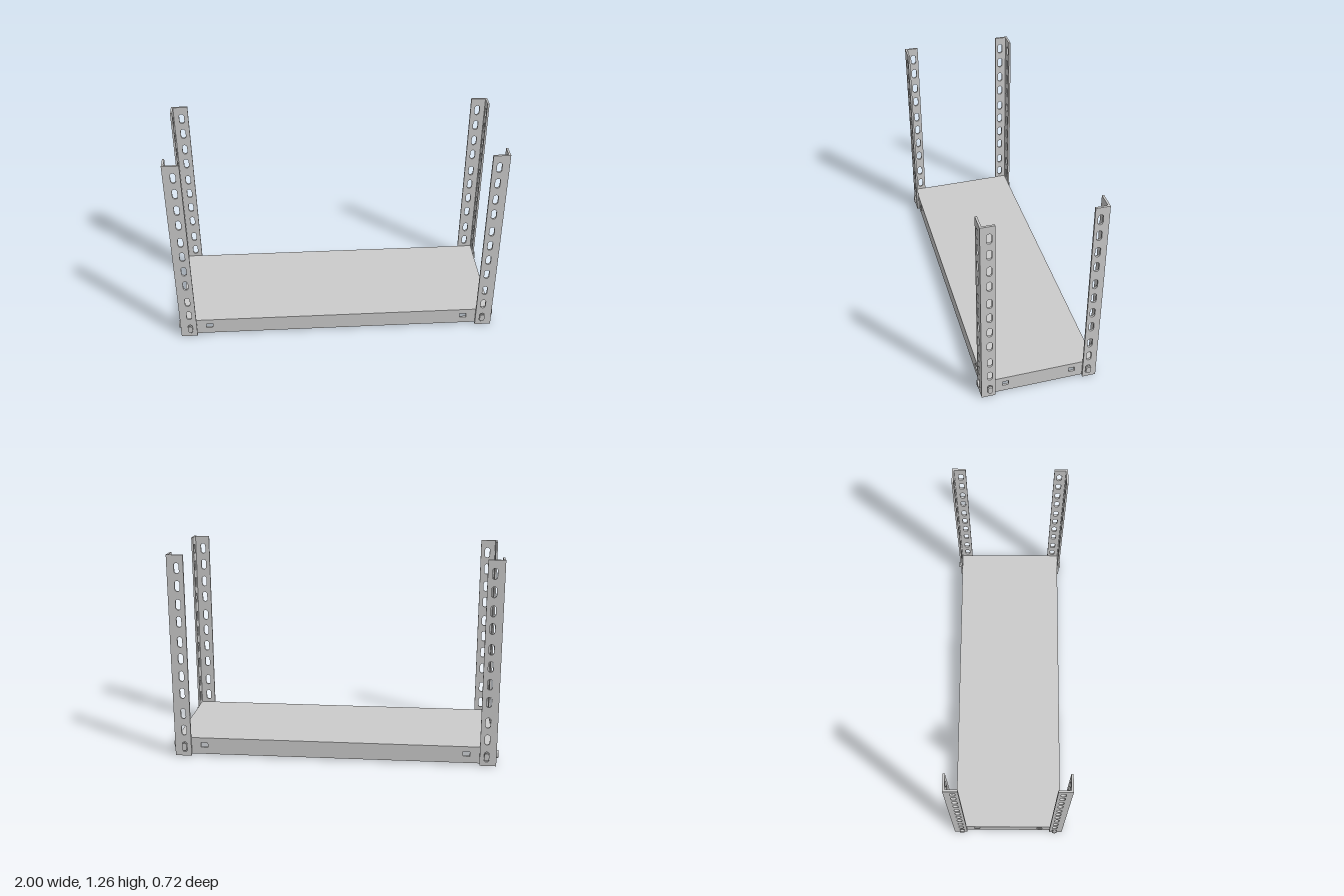
import * as THREE from 'three';

const METAL = new THREE.MeshStandardMaterial({ color: 0xcccccc, side: THREE.DoubleSide });
const WALL = 0.012;
const POST = { x: 0.985, z: 0.35, innerX: 0.885, innerZ: 0.268, height: 1.26 };
const TRAY = { x: 0.973, z: 0.337, bottom: 0.01, top: 0.115 };
const SLOT_X = 0.926, SLOT_Z = 0.3, BOLT_Y = 0.06;
const SLOT_YS = [0.057, 0.167, 0.275, 0.405, 0.515, 0.625, 0.73, 0.855, 0.96, 1.073, 1.18];

function add(group, name, geometry) {
  const mesh = new THREE.Mesh(geometry, METAL);
  mesh.name = name;
  group.add(mesh);
  return mesh;
}

function trace(path, points) {
  points.forEach(([x, y], i) => (i ? path.lineTo(x, y) : path.moveTo(x, y)));
  path.closePath();
  return path;
}

const rectangle = (path, x0, x1, y0, y1) => trace(path, [[x0, y0], [x1, y0], [x1, y1], [x0, y1]]);

// Upright slot with round ends
function slot(path, x, y, width, height) {
  const r = width / 2, h = height / 2 - r;
  path.moveTo(x + r, y - h);
  path.lineTo(x + r, y + h);
  path.absarc(x, y + h, r, 0, Math.PI, false);
  path.lineTo(x - r, y - h);
  path.absarc(x, y - h, r, Math.PI, Math.PI * 2, false);
  return path;
}

// Upright sheet spanning a0..a1; it faces z, or x when alongZ is set, centred at offset
function sheet(a0, a1, y0, y1, holes, offset, alongZ) {
  const lo = Math.min(a0, a1), hi = Math.max(a0, a1);
  const flip = alongZ ? -1 : 1; // turning the sheet sideways maps its x to -z
  const shape = rectangle(new THREE.Shape(), Math.min(lo * flip, hi * flip), Math.max(lo * flip, hi * flip), y0, y1);
  shape.holes = holes(flip);
  const geometry = new THREE.ExtrudeGeometry(shape, { depth: WALL, bevelEnabled: false, curveSegments: 8 });
  geometry.translate(0, 0, -WALL / 2);
  if (alongZ) geometry.rotateY(Math.PI / 2).translate(offset, 0, 0);
  else geometry.translate(0, 0, offset);
  return geometry;
}

// Slotted angle post with one flange facing z and one facing x
function createPost(sx, sz) {
  const post = new THREE.Group();
  post.name = 'cornerPost';
  const slots = (center) => (flip) =>
    SLOT_YS.map((y) => slot(new THREE.Path(), center * flip, y, 0.03, 0.065));
  add(post, 'longSideFlange', sheet(sx * POST.innerX, sx * POST.x, 0, POST.height,
    slots(sx * SLOT_X), sz * (POST.z - WALL / 2), false));
  add(post, 'shortSideFlange', sheet(sz * POST.innerZ, sz * (POST.z - WALL), 0, POST.height,
    slots(sz * SLOT_Z), sx * (POST.x - WALL / 2), true));
  return post;
}

// Bolt pointing along +z, with its head seated on z = 0
function createBolt(x, z, angle) {
  const bolt = new THREE.Group();
  bolt.name = 'bolt';
  const head = slot(new THREE.Shape(), 0, 0, 0.03, 0.048);
  add(bolt, 'boltHead', new THREE.ExtrudeGeometry(head, { depth: 0.012, bevelEnabled: false, curveSegments: 8 }));
  const shank = new THREE.CylinderGeometry(0.011, 0.011, 0.03, 16).rotateX(Math.PI / 2);
  add(bolt, 'boltShank', shank.translate(0, 0, -0.014));
  bolt.position.set(x, BOLT_Y, z);
  bolt.rotation.y = angle;
  return bolt;
}

// Folded tray: flat deck, four skirts with square holes and an inward lip
function createTray() {
  const tray = new THREE.Group();
  tray.name = 'shelfTray';
  const deck = new THREE.BoxGeometry(TRAY.x * 2, WALL, TRAY.z * 2);
  add(tray, 'deck', deck.translate(0, TRAY.top - WALL / 2, 0));

  const squares = (center, width) => () => [-1, 1].map((s) =>
    rectangle(new THREE.Path(), s * center - width / 2, s * center + width / 2, 0.053, 0.083));
  for (const s of [-1, 1]) {
    add(tray, 'longSkirt', sheet(-TRAY.x, TRAY.x, TRAY.bottom, TRAY.top - WALL,
      squares(0.805, 0.042), s * (TRAY.z - WALL / 2), false));
    add(tray, 'shortSkirt', sheet(-TRAY.z + WALL, TRAY.z - WALL, TRAY.bottom, TRAY.top - WALL,
      squares(0.202, 0.036), s * (TRAY.x - WALL / 2), true));
  }

  const lip = rectangle(new THREE.Shape(), -TRAY.x + WALL, TRAY.x - WALL, -TRAY.z + WALL, TRAY.z - WALL);
  lip.holes.push(rectangle(new THREE.Path(), -TRAY.x + 0.035, TRAY.x - 0.035, -TRAY.z + 0.035, TRAY.z - 0.035));
  const lipGeometry = new THREE.ExtrudeGeometry(lip, { depth: 0.008, bevelEnabled: false });
  add(tray, 'bottomLip', lipGeometry.rotateX(-Math.PI / 2).translate(0, TRAY.bottom, 0));
  return tray;
}

export function createModel() {
  const model = new THREE.Group();
  model.name = 'shelfUnit';
  model.add(createTray());
  for (const sx of [-1, 1]) {
    for (const sz of [-1, 1]) {
      model.add(createPost(sx, sz));
      model.add(createBolt(sx * SLOT_X, sz * POST.z, sz > 0 ? 0 : Math.PI));
      model.add(createBolt(sx * (POST.x + 0.002), sz * SLOT_Z, sx * Math.PI / 2));
    }
  }
  return model;
}
